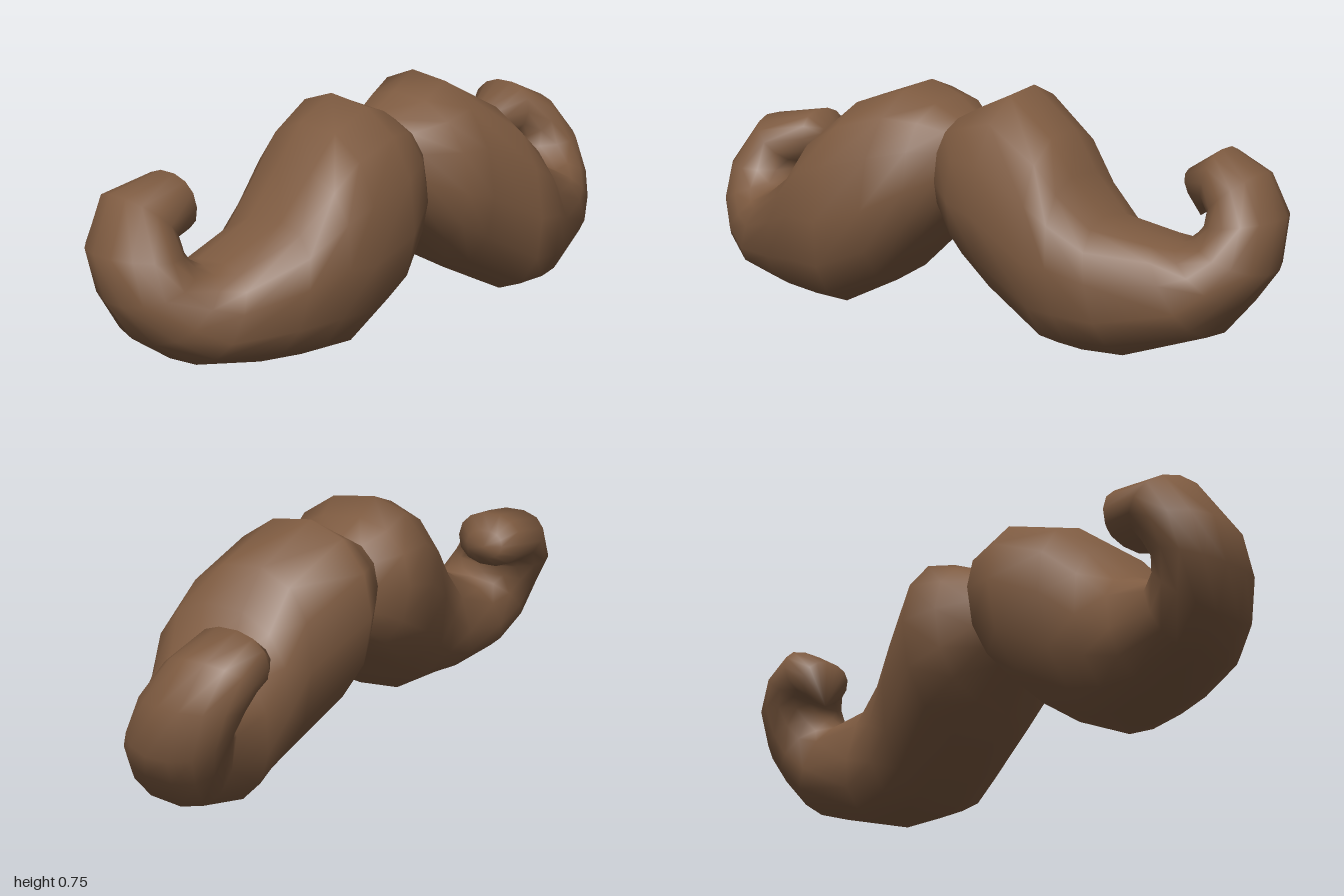
import * as THREE from 'three';

const SEGMENTS = 14;

// Each ring: outer z, outer y, inner z, inner y, min x, max x, slant, roundness (1 = ellipse)
const frontRings = [
  [0, 0.33, 0, 0.65, -0.18, 0.17, 0.1, 0.87],
  [0.07, 0.25, 0.07, 0.695, -0.25, 0.24, 0.12, 0.87],
  [0.2, 0.12, 0.17, 0.738, -0.27, 0.295, 0.15, 0.9],
  [0.38, 0.03, 0.33, 0.685, -0.22, 0.305, 0.08, 0.87],
  [0.49, 0.035, 0.44, 0.585, -0.19, 0.305, -0.05, 0.85],
  [0.63, 0.04, 0.54, 0.45, -0.18, 0.255, -0.15, 0.82],
  [0.82, 0.07, 0.7, 0.35, -0.2, 0.17, -0.15, 0.82],
  [0.93, 0.15, 0.74, 0.345, -0.23, 0.12, -0.1, 0.87],
  [1, 0.27, 0.755, 0.36, -0.26, 0.07, 0, 1],
  [1, 0.4, 0.76, 0.385, -0.305, 0.03, 0, 1],
  [0.91, 0.55, 0.755, 0.4, -0.31, -0.03, 0, 0.95],
  [0.71, 0.58, 0.695, 0.405, -0.3, -0.07, 0, 0.9],
  [0.67, 0.53, 0.66, 0.44, -0.25, -0.12, 0, 0.9],
];
const backRings = [
  [0, 0.33, 0, 0.65, -0.18, 0.17, 0.1, 0.87],
  [-0.1, 0.23, -0.1, 0.7, -0.235, 0.25, 0.12, 0.87],
  [-0.2, 0.13, -0.2, 0.75, -0.28, 0.27, 0.12, 0.95],
  [-0.41, 0.02, -0.38, 0.64, -0.2, 0.3, 0.08, 0.87],
  [-0.5, 0.01, -0.46, 0.53, -0.18, 0.305, -0.05, 0.85],
  [-0.62, 0, -0.55, 0.415, -0.18, 0.255, -0.15, 0.85],
  [-0.86, 0.08, -0.7, 0.365, -0.2, 0.165, -0.15, 0.82],
  [-0.94, 0.18, -0.75, 0.345, -0.23, 0.12, -0.1, 0.87],
  [-1, 0.27, -0.77, 0.37, -0.26, 0.07, 0, 1],
  [-1, 0.42, -0.775, 0.39, -0.295, 0.02, 0, 1],
  [-0.92, 0.54, -0.77, 0.41, -0.31, -0.03, 0, 0.95],
  [-0.79, 0.6, -0.755, 0.42, -0.31, -0.07, 0, 0.9],
  [-0.68, 0.53, -0.745, 0.41, -0.27, -0.1, 0, 0.9],
];

// Squared-off wave, so the ovals can be fuller than ellipses
const full = (v, power) => Math.sign(v) * Math.abs(v) ** power;

// Loft slanted ovals into a tapering tube, closed at the curled tip
function loft(rings, tip, side) {
  const positions = [];
  const indices = [];
  const addFace = (a, b, c) => indices.push(...(side > 0 ? [a, b, c] : [a, c, b]));

  for (const [oz, oy, iz, iy, x0, x1, slant, power] of rings) {
    for (let j = 0; j < SEGMENTS; j++) {
      const t = (j / SEGMENTS) * Math.PI * 2;
      const n = full(Math.sin(t - slant), power) / 2;
      positions.push(
        (x0 + x1) / 2 + full(Math.cos(t), power) * (x1 - x0) / 2,
        (oy + iy) / 2 + n * (iy - oy),
        (oz + iz) / 2 + n * (iz - oz),
      );
    }
  }
  const last = rings.length - 1;
  const tipIndex = rings.length * SEGMENTS;
  positions.push(...tip);

  for (let j = 0; j < SEGMENTS; j++) {
    const k = (j + 1) % SEGMENTS;
    for (let i = 0; i < last; i++) {
      const a = i * SEGMENTS + j;
      const b = i * SEGMENTS + k;
      addFace(a, b, a + SEGMENTS);
      addFace(b, b + SEGMENTS, a + SEGMENTS);
    }
    addFace(last * SEGMENTS + j, last * SEGMENTS + k, tipIndex);
  }

  const geometry = new THREE.BufferGeometry();
  geometry.setAttribute('position', new THREE.Float32BufferAttribute(positions, 3));
  geometry.setIndex(indices);
  geometry.computeVertexNormals();
  return geometry;
}

export function createModel() {
  const group = new THREE.Group();
  group.name = 'moustache';
  const brown = new THREE.MeshStandardMaterial({ color: 0x7d5a40 });
  brown.name = 'brown hair';

  // Two curled halves meeting at the pinched middle
  const addHalf = (name, rings, tip, side) => {
    const mesh = new THREE.Mesh(loft(rings, tip, side), brown);
    mesh.name = name;
    group.add(mesh);
  };
  addHalf('frontHalf', frontRings, [-0.19, 0.48, 0.65], 1);
  addHalf('backHalf', backRings, [-0.18, 0.39, -0.715], -1);
  return group;
}
